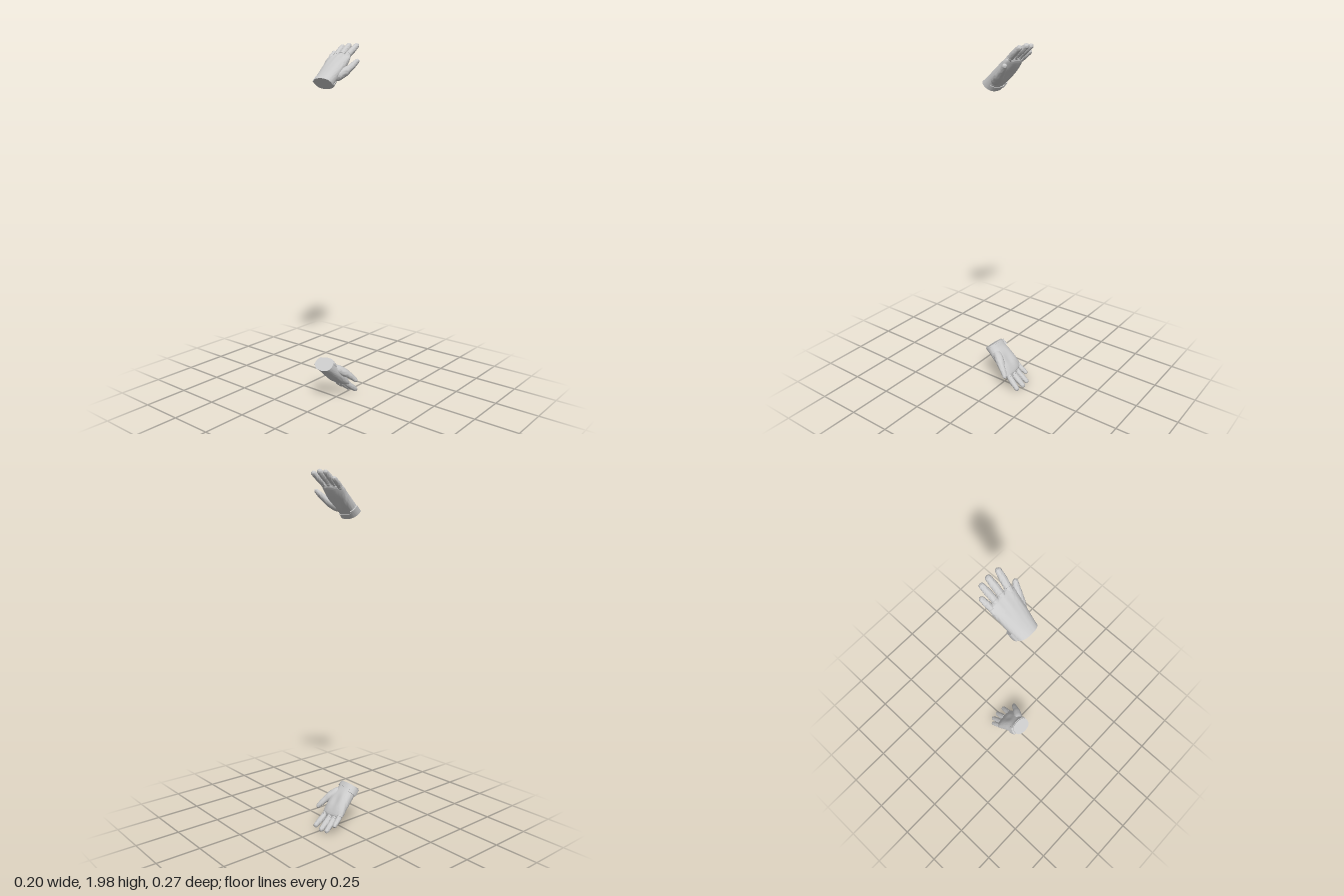
import * as THREE from 'three';
import { toCreasedNormals } from 'three/addons/utils/BufferGeometryUtils.js';

const V = (x, s, h) => new THREE.Vector3(x, s, h);
const material = new THREE.MeshStandardMaterial({ color: 0xcccccc });

// Hand space is (across, along the hand, towards the back of the hand).
function toWorld(p, mirrored) {
  const y = 1.87 + 0.66 * p.y + 0.75 * p.z;
  return [p.x, mirrored ? 2 - y : y, -0.75 * p.y + 0.66 * p.z];
}

// Skin a list of closed rings and cap both ends.
function loft(name, rings, mirrored) {
  const n = rings[0].length, pos = [], index = [];
  const tri = (a, b, c) => (mirrored ? index.push(a, c, b) : index.push(a, b, c));
  rings.forEach(r => r.forEach(p => pos.push(...toWorld(p, mirrored))));
  for (let i = 0; i < rings.length - 1; i++) {
    for (let j = 0; j < n; j++) {
      const k = (j + 1) % n, a = i * n, b = a + n;
      tri(a + j, a + k, b + k);
      tri(a + j, b + k, b + j);
    }
  }
  [0, rings.length - 1].forEach(e => {
    const centre = V(0, 0, 0);
    rings[e].forEach(p => centre.addScaledVector(p, 1 / n));
    const c = pos.length / 3;
    pos.push(...toWorld(centre, mirrored));
    for (let j = 0; j < n; j++) {
      const a = e * n + j, b = e * n + (j + 1) % n;
      if (e === 0) tri(c, b, a); else tri(c, a, b);
    }
  });
  const geo = new THREE.BufferGeometry();
  geo.setAttribute('position', new THREE.Float32BufferAttribute(pos, 3));
  geo.setIndex(index);
  const mesh = new THREE.Mesh(toCreasedNormals(geo, 0.9), material);
  mesh.name = name;
  return mesh;
}

// Palm outline: (along, right edge, left edge) and (along, back, palm side).
const sides = new THREE.CatmullRomCurve3([
  V(-0.137, -0.070, 0.046), V(-0.10, -0.075, 0.048), V(-0.04, -0.083, 0.053),
  V(0.02, -0.091, 0.055), V(0.055, -0.095, 0.056), V(0.072, -0.092, 0.053), V(0.08, -0.082, 0.045)]);
const depth = new THREE.CatmullRomCurve3([
  V(-0.137, 0.027, -0.058), V(-0.10, 0.024, -0.052), V(-0.04, 0.024, -0.052),
  V(0.02, 0.022, -0.042), V(0.055, 0.018, -0.029), V(0.072, 0.012, -0.020), V(0.08, 0.002, -0.008)]);

const soft = v => Math.sign(v) * Math.abs(v) ** 0.85;

function palmPoint(t, angle, grow = 0) {
  const a = sides.getPoint(t), b = depth.getPoint(t);
  const c = soft(Math.cos(angle)), w = soft(Math.sin(angle));
  const x = (a.y + a.z) / 2 + ((a.z - a.y) / 2 + grow) * w;
  let h = (b.y + b.z) / 2 + ((b.y - b.z) / 2 + grow) * c;
  const s = a.x;
  // hollow of the palm
  if (c < 0) h -= 0.009 * c * Math.exp(-(((x + 0.012) / 0.028) ** 2) - (((s + 0.01) / 0.05) ** 2));
  // shallow tendon ridges on the back
  if (c > 0) h += 0.0015 * c * Math.cos((x + 0.01) * 150) * Math.max(0, Math.min(1, (s + 0.06) / 0.1));
  // slanted cuff, and a knuckle line that falls away to the little finger
  const slant = -0.19 * (h + 0.015) * Math.max(0, 1 - t * 3);
  const arc = -1.6 * (x - 0.01) ** 2 * Math.max(0, s / 0.08);
  return V(x, s + slant + arc, h);
}

function palm(mirrored) {
  const rings = [];
  for (let i = 0; i <= 30; i++) {
    rings.push(Array.from({ length: 48 }, (_, j) => palmPoint(i / 30, j / 48 * Math.PI * 2)));
  }
  return loft('palm', rings, mirrored);
}

// Strip wrapped around the cuff between two angles.
function wrap(name, from, to, t0, t1, thickness, mirrored) {
  const rings = [];
  for (let i = 0; i <= 24; i++) {
    const a = THREE.MathUtils.degToRad(from + (to - from) * i / 24);
    rings.push([palmPoint(t1, a, thickness), palmPoint(t0, a, thickness),
      palmPoint(t0, a, -0.003), palmPoint(t1, a, -0.003)]);
  }
  return loft(name, rings, mirrored);
}

// Ring around a finger path.
function ringAt(centre, dir, r, flat) {
  const side = dir.clone().cross(V(0, 0, 1)).normalize();
  const up = side.clone().cross(dir);
  return Array.from({ length: 20 }, (_, j) => {
    const a = j / 20 * Math.PI * 2;
    return centre.clone().addScaledVector(up, r * flat * Math.cos(a)).addScaledVector(side, r * Math.sin(a));
  });
}

// Digit with a rounded tip; radii are spread evenly along the path.
function digit(name, points, radii, mirrored, seamAt) {
  const curve = new THREE.CatmullRomCurve3(points), rings = [], flat = 0.92;
  const radius = t => {
    const f = t * (radii.length - 1), i = Math.min(Math.floor(f), radii.length - 2);
    return THREE.MathUtils.lerp(radii[i], radii[i + 1], THREE.MathUtils.smoothstep(f - i, 0, 1));
  };
  for (let i = 0; i <= 16; i++) {
    rings.push(ringAt(curve.getPoint(i / 16), curve.getTangent(i / 16), radius(i / 16), flat));
  }
  const end = curve.getPoint(1), dir = curve.getTangent(1), r = radius(1);
  for (let k = 1; k <= 6; k++) {
    const a = k / 6.3 * Math.PI / 2;
    rings.push(ringAt(end.clone().addScaledVector(dir, r * Math.sin(a)), dir, r * Math.cos(a), flat));
  }
  const group = new THREE.Group();
  group.name = name;
  group.add(loft(name + 'Body', rings, mirrored));
  // raised seam where the finger leaves the palm
  if (seamAt) {
    const seam = [[-0.0015, 0], [-0.001, 0.0012], [0.001, 0.0012], [0.0015, 0]].map(([d, g]) => {
      const tan = curve.getTangent(seamAt);
      return ringAt(curve.getPoint(seamAt).addScaledVector(tan, d), tan, radius(seamAt) + g, flat);
    });
    group.add(loft(name + 'Seam', seam, mirrored));
  }
  return group;
}

function glove(name, mirrored) {
  const g = new THREE.Group();
  g.name = name;
  g.add(palm(mirrored));
  // fingers: name, base x, tip x, base s, tip s, height, radius
  [['littleFinger', -0.075, -0.089, 0.025, 0.114, -0.008, 0.0150],
    ['ringFinger', -0.044, -0.056, 0.035, 0.158, -0.003, 0.0165],
    ['middleFinger', -0.010, -0.0125, 0.040, 0.163, -0.002, 0.0180],
    ['indexFinger', 0.028, 0.042, 0.038, 0.157, -0.003, 0.0175],
  ].forEach(([n, x0, x1, s0, s1, h, r]) => {
    const mid = V((x0 + x1) / 2, (s0 + s1) / 2, h + 0.002);
    g.add(digit(n, [V(x0, s0, h), mid, V(x1, s1, h)], [r * 1.1, r, r * 1.02, r * 0.86], mirrored, 0.35));
  });
  // thumb, starting in the ball of the hand
  g.add(digit('thumb', [V(0.024, -0.085, -0.022), V(0.032, -0.06, -0.03), V(0.05, -0.026, -0.034),
    V(0.069, 0.012, -0.035), V(0.078, 0.038, -0.034), V(0.088, 0.060, -0.031)],
  [0.022, 0.027, 0.026, 0.019, 0.0165, 0.013], mirrored));
  // wrist strap with its fastening tab
  g.add(wrap('wristStrap', 110, 275, 0.03, 0.15, 0.004, mirrored));
  g.add(wrap('strapTab', 225, 285, 0.035, 0.2, 0.010, mirrored));
  return g;
}

export function createModel() {
  const model = new THREE.Group();
  model.name = 'glovePair';
  model.add(glove('upperGlove', false), glove('lowerGlove', true));
  return model;
}
